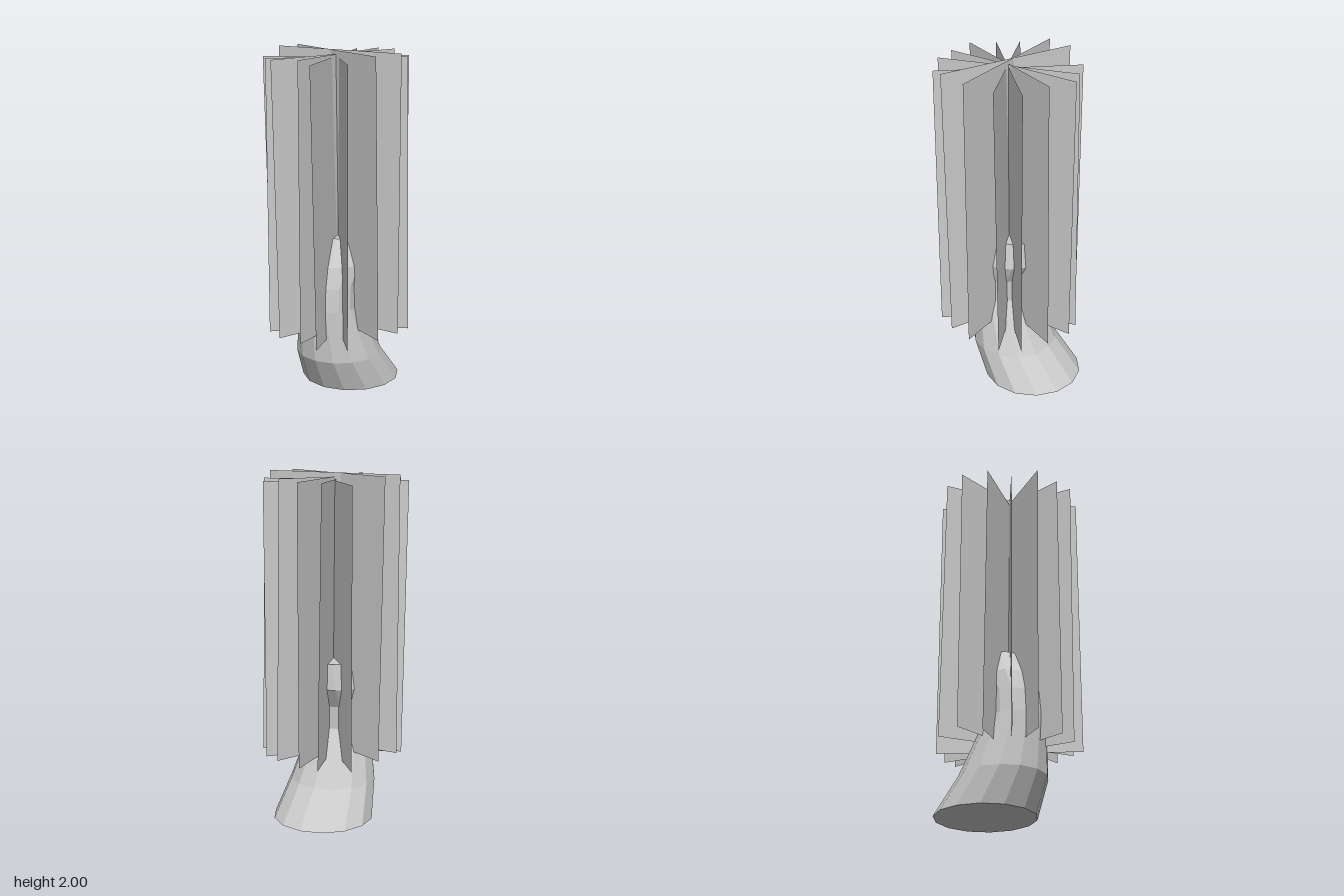
import * as THREE from 'three';

const SIDES = 14;

// Trunk cross-sections from the ground up: height, centre x, centre z, radius
const RINGS = [
  [0, -0.018, -0.145, 0.293],
  [0.2, -0.016, -0.01, 0.253],
  [0.515, -0.018, 0.09, 0.176],
  [0.65, -0.018, 0.08, 0.172],
  [0.77, -0.018, 0.022, 0.187],
  [0.92, -0.018, -0.022, 0.133],
];

// Closed loft through the rings, with a flat cap at each end
function trunkGeometry() {
  const pos = [];
  const index = [];
  for (const [y, cx, cz, r] of RINGS) {
    for (let i = 0; i < SIDES; i++) {
      const a = (i / SIDES) * Math.PI * 2;
      pos.push(cx + r * Math.sin(a), y, cz + r * Math.cos(a));
    }
  }
  const last = (RINGS.length - 1) * SIDES;
  for (let i = 0; i < SIDES; i++) {
    const j = (i + 1) % SIDES;
    for (let k = 0; k < last; k += SIDES) {
      index.push(k + i, k + j, k + SIDES + j, k + i, k + SIDES + j, k + SIDES + i);
    }
    if (i > 0 && i < SIDES - 1) {
      index.push(0, j, i); // underside
      index.push(last, last + i, last + j); // top
    }
  }
  const geo = new THREE.BufferGeometry();
  geo.setAttribute('position', new THREE.Float32BufferAttribute(pos, 3));
  geo.setIndex(index);
  const flat = geo.toNonIndexed();
  flat.computeVertexNormals();
  return flat;
}

export function createModel() {
  const model = new THREE.Group();
  model.name = 'cardTree';

  const bark = new THREE.MeshStandardMaterial({ color: 0xcccccc, flatShading: true });
  const leaf = new THREE.MeshStandardMaterial({ color: 0xcccccc, side: THREE.DoubleSide });

  const trunk = new THREE.Mesh(trunkGeometry(), bark);
  trunk.name = 'trunk';
  model.add(trunk);

  // Crossed foliage cards: each entry is [angle from +x towards +z in degrees, centre height]
  const card = new THREE.PlaneGeometry(0.826, 1.61);
  const addCards = (name, cx, cz, cards) => {
    const group = new THREE.Group();
    group.name = name;
    group.position.set(cx, 1.165, cz);
    for (const [deg, y] of cards) {
      const mesh = new THREE.Mesh(card, leaf);
      mesh.name = 'foliageCard';
      mesh.position.y = y - 1.165;
      mesh.rotation.y = -THREE.MathUtils.degToRad(deg);
      group.add(mesh);
    }
    model.add(group);
    return group;
  };

  // Upright set
  addCards('uprightFoliage', 0, 0.022, [[0, 1.195], [49, 1.152], [90, 1.17], [135, 1.155]])
    .children[2].position.z = -0.022;

  // Second set, turned between the first and leaning slightly
  const leaning = addCards('leaningFoliage', -0.007, 0.023,
    [[24, 1.193], [75, 1.157], [113.5, 1.17], [155.5, 1.157]]);
  leaning.rotation.set(0.019, 0, 0.007);

  return model;
}
